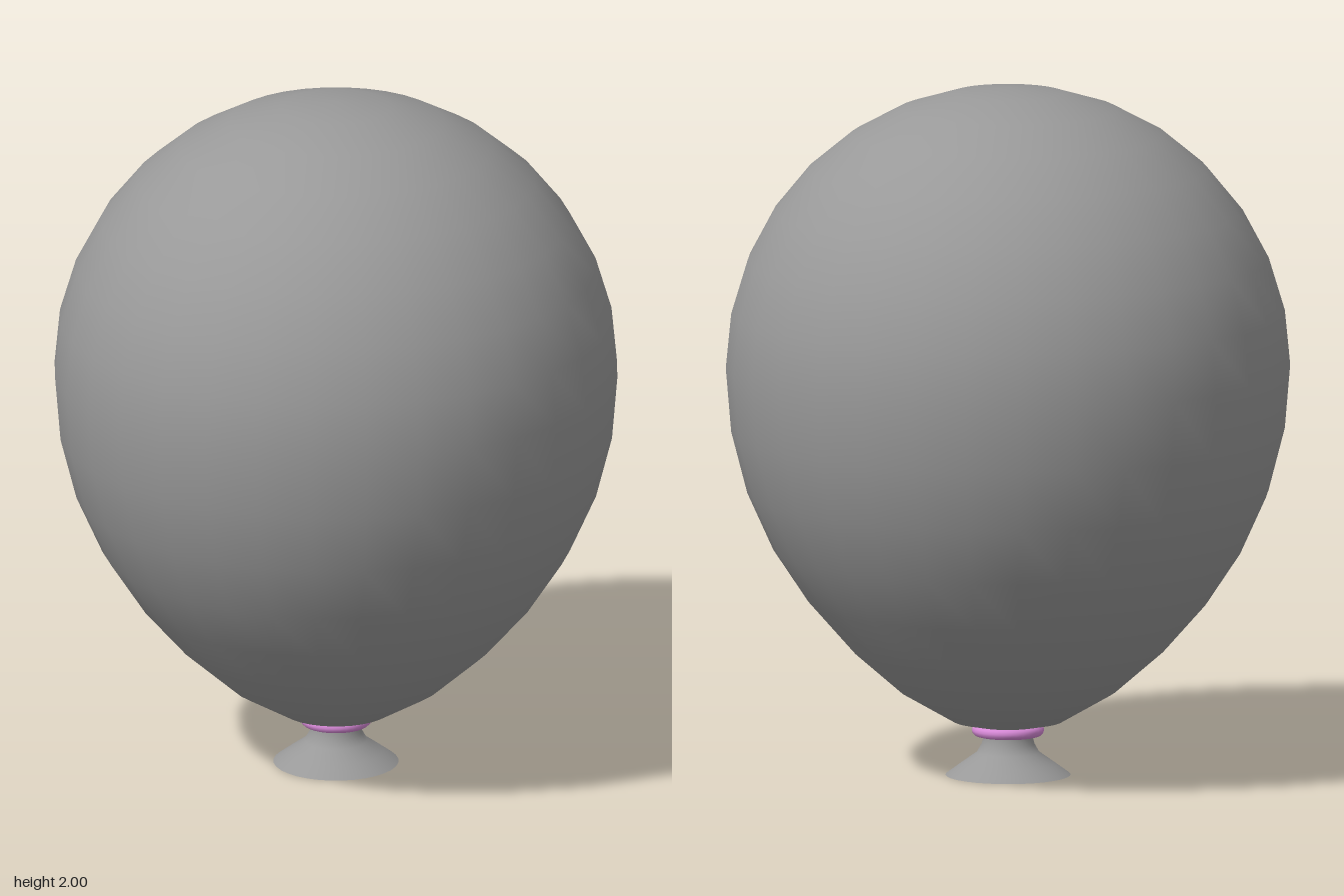
import * as THREE from 'three';

const SEGMENTS = 32;
const grey = new THREE.MeshStandardMaterial({ color: 0x999999 });
const violet = new THREE.MeshStandardMaterial({ color: 0xd88ad8 });

function part(name, geometry, material = grey) {
  const mesh = new THREE.Mesh(geometry, material);
  mesh.name = name;
  return mesh;
}

// Sphere whose lower half is stretched downwards, more so near the pole
function envelopeGeometry(radius, centerY) {
  const geometry = new THREE.SphereGeometry(radius, SEGMENTS, 16);
  const pos = geometry.attributes.position;
  const normal = geometry.attributes.normal;
  const n = new THREE.Vector3();
  for (let i = 0; i < pos.count; i++) {
    const y = pos.getY(i);
    const below = y < 0;
    const t6 = (y / radius) ** 6;
    pos.setY(i, centerY + y * (below ? 1.17 + 0.14 * t6 : 1));
    // Tilt the normal by the slope of the stretch, so seam and poles stay smooth
    n.fromBufferAttribute(normal, i);
    n.y /= below ? 1.17 + 0.98 * t6 : 1;
    n.normalize();
    normal.setXYZ(i, n.x, n.y, n.z);
  }
  return geometry;
}

export function createModel() {
  const balloon = new THREE.Group();
  balloon.name = 'balloon';

  // Inflated body
  balloon.add(part('envelope', envelopeGeometry(0.812, 1.188)));

  // Flared neck below the body
  const neckProfile = [
    [0.18, 0], [0.135, 0.033], [0.09, 0.065], [0.076, 0.09], [0.07, 0.115], [0.07, 0.15],
  ].map(([r, y]) => new THREE.Vector2(r, y));
  balloon.add(part('neck', new THREE.LatheGeometry(neckProfile, SEGMENTS)));

  // Flat underside closing the neck
  const base = part('neckBase', new THREE.CircleGeometry(0.18, SEGMENTS));
  base.rotation.x = Math.PI / 2;
  balloon.add(base);

  // Coloured tie around the neck
  const tie = part('tieRing', new THREE.TorusGeometry(0.087, 0.017, 12, SEGMENTS), violet);
  tie.rotation.x = Math.PI / 2;
  tie.position.y = 0.13;
  balloon.add(tie);

  return balloon;
}
